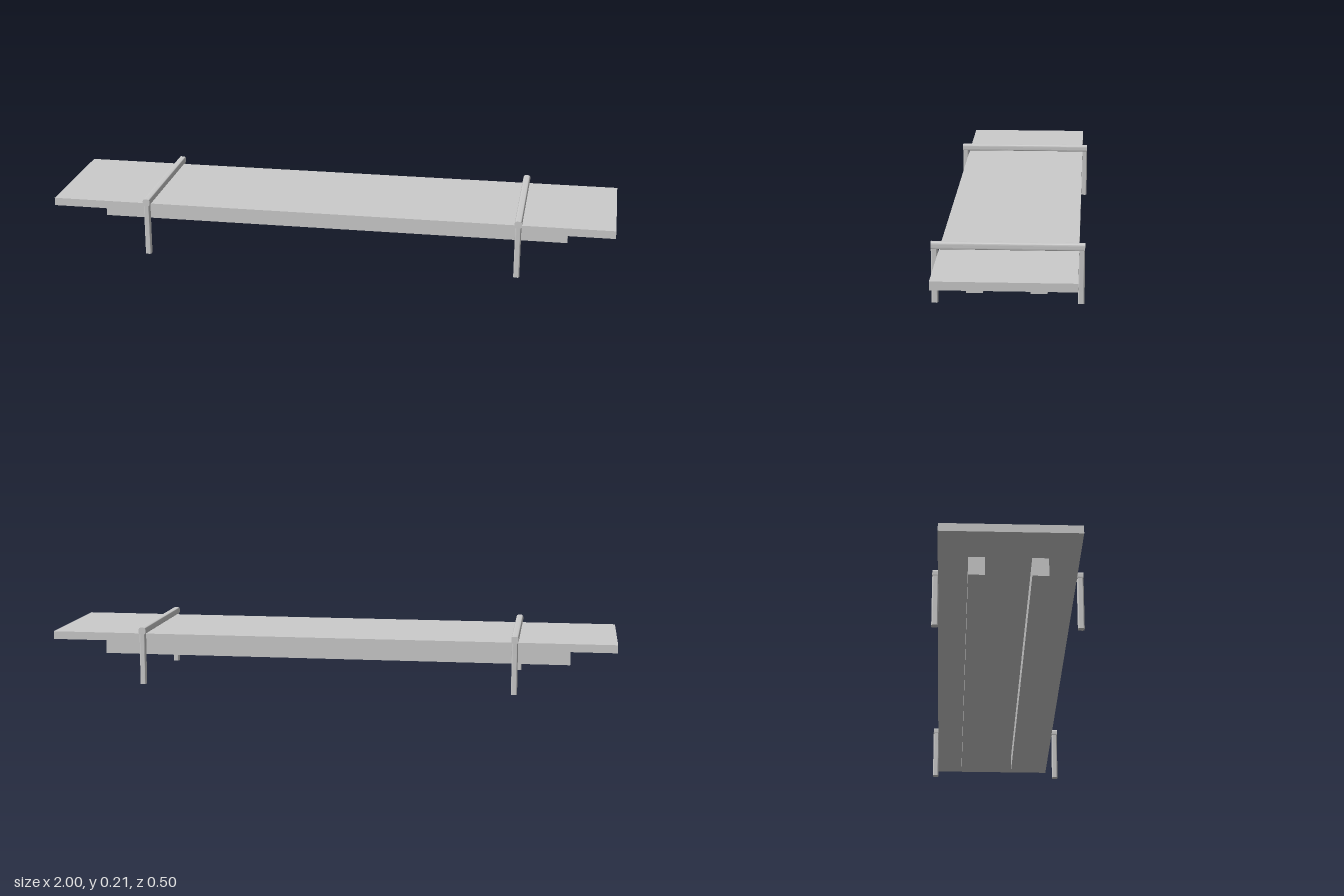
import * as THREE from 'three';
import { toCreasedNormals } from 'three/addons/utils/BufferGeometryUtils.js';

const material = new THREE.MeshStandardMaterial({ color: 0xcccccc });

function addMesh(parent, name, geometry, x, y, z) {
  const mesh = new THREE.Mesh(geometry, material);
  mesh.name = name;
  mesh.position.set(x, y, z);
  parent.add(mesh);
  return mesh;
}

// Box given by its lower and upper limits
function addBox(parent, name, [x0, x1], [y0, y1], [z0, z1]) {
  return addMesh(parent, name, new THREE.BoxGeometry(x1 - x0, y1 - y0, z1 - z0),
    (x0 + x1) / 2, (y0 + y1) / 2, (z0 + z1) / 2);
}

// Rounded rectangular rod running along +z from the origin
function rodGeometry(width, height, radius, length) {
  const w = width / 2 - radius, h = height / 2 - radius;
  const shape = new THREE.Shape();
  shape.absarc(w, h, radius, 0, Math.PI / 2);
  shape.absarc(-w, h, radius, Math.PI / 2, Math.PI);
  shape.absarc(-w, -h, radius, Math.PI, Math.PI * 1.5);
  shape.absarc(w, -h, radius, Math.PI * 1.5, Math.PI * 2);
  const rod = new THREE.ExtrudeGeometry(shape, { depth: length, bevelEnabled: false, curveSegments: 5 });
  return toCreasedNormals(rod, Math.PI / 5);
}

export function createModel() {
  const model = new THREE.Group();
  model.name = 'lowBench';

  // Flat top board
  addBox(model, 'topBoard', [-1, 1], [0.155, 0.183], [-0.231, 0.223]);

  // Two long beams under the board
  addBox(model, 'frontBeam', [-0.84, 0.835], [0.091, 0.155], [0.07, 0.124]);
  addBox(model, 'backBeam', [-0.84, 0.835], [0.091, 0.155], [-0.134, -0.08]);

  // Staple-shaped frames that straddle the board
  for (const [name, x] of [['rightFrame', -0.65], ['leftFrame', 0.668]]) {
    const frame = new THREE.Group();
    frame.name = name;
    frame.position.x = x;
    addMesh(frame, 'crossBar', rodGeometry(0.025, 0.025, 0.008, 0.5), 0, 0.1945, -0.25);
    for (const [legName, z, foot] of [['frontLeg', 0.239, 0], ['backLeg', -0.239, 0.003]]) {
      const leg = addMesh(frame, legName, rodGeometry(0.021, 0.022, 0.006, 0.19 - foot), 0, foot, z);
      leg.rotation.x = -Math.PI / 2;
    }
    model.add(frame);
  }
  return model;
}
